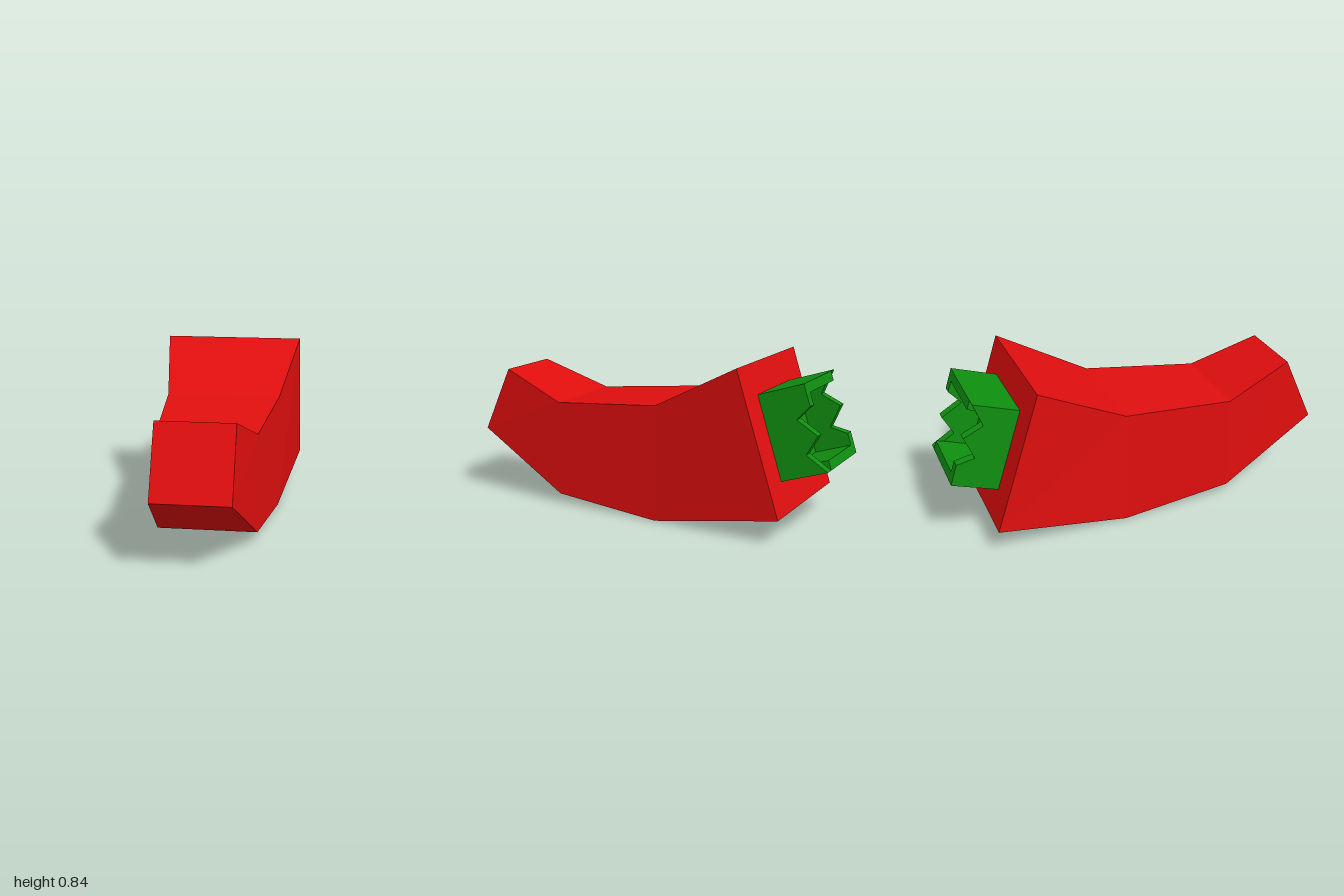
import * as THREE from 'three';

const red = new THREE.MeshStandardMaterial({ color: 0xe00e0e, flatShading: true });
red.name = 'red';
const green = new THREE.MeshStandardMaterial({ color: 0x0f8f10, flatShading: true });
green.name = 'green';

// Rectangular cross-sections, front to back: half width, top z, top y, bottom z, bottom y
const SECTIONS = [
  [0.19, 0.845, 0.69, 1.0, 0.346],
  [0.25, 0.487, 0.55, 0.487, 0.05],
  [0.30, -0.113, 0.60, -0.113, 0.0],
  [0.375, -0.586, 0.838, -0.812, 0.124],
];

// Closed skin over the rectangular sections
function loftGeometry(sections) {
  const rings = sections.map(([w, tz, ty, bz, by]) => [[-w, by, bz], [w, by, bz], [w, ty, tz], [-w, ty, tz]]);
  const pos = [];
  const quad = (a, b, c, d) => pos.push(...a, ...b, ...c, ...a, ...c, ...d);
  quad(...rings[0]);
  for (let i = 0; i < rings.length - 1; i++) {
    const a = rings[i], b = rings[i + 1];
    for (let j = 0; j < 4; j++) {
      const k = (j + 1) % 4;
      quad(a[j], b[j], b[k], a[k]);
    }
  }
  quad(...[...rings[rings.length - 1]].reverse());
  const geo = new THREE.BufferGeometry();
  geo.setAttribute('position', new THREE.Float32BufferAttribute(pos, 3));
  geo.computeVertexNormals();
  return geo;
}

function addMesh(parent, name, geo, mat, x = 0, y = 0, z = 0) {
  const mesh = new THREE.Mesh(geo, mat);
  mesh.name = name;
  mesh.position.set(x, y, z);
  parent.add(mesh);
  return mesh;
}

// Hollow socket: local x points out of the back face, y up along it, z sideways
function makeSocket() {
  const socket = new THREE.Group();
  socket.name = 'socket';
  const L = 0.243, H = 0.438, W = 0.22, T = 0.05, sink = 0.02, notch = 0.16;

  // Toothed side walls, each the other turned upside down
  const rim = [[L, 0], [L, 0.112], [notch, 0.16], [L, 0.257], [notch, 0.335], [L, H]];
  const flipped = rim.map(([v, u]) => [v, H - u]).reverse();
  [['leftWall', rim, W - T], ['rightWall', flipped, -W]].forEach(([name, edge, z]) => {
    const points = [[-sink, 0], ...edge, [-sink, H]].map(([v, u]) => new THREE.Vector2(v, -u));
    const geo = new THREE.ExtrudeGeometry(new THREE.Shape(points), { depth: T, bevelEnabled: false });
    addMesh(socket, name, geo, green, 0, 0, z);
  });

  // Top and bottom walls and the recessed floor
  const bar = new THREE.BoxGeometry(L + sink, T, 2 * (W - T));
  addMesh(socket, 'topWall', bar, green, (L - sink) / 2, -T / 2, 0);
  addMesh(socket, 'bottomWall', bar, green, (L - sink) / 2, -H + T / 2, 0);
  const floor = new THREE.BoxGeometry(0.05 + sink, H - 2 * T, 2 * (W - T));
  addMesh(socket, 'socketFloor', floor, green, (0.05 - sink) / 2, -H / 2, 0);

  // Align with the sloping back face
  const up = new THREE.Vector3(0, 0.714, 0.226).normalize();
  const out = new THREE.Vector3(0, up.z, -up.y);
  const side = new THREE.Vector3(1, 0, 0);
  socket.quaternion.setFromRotationMatrix(new THREE.Matrix4().makeBasis(out, up, side));
  socket.position.set(0, 0.691, -0.634);
  return socket;
}

export function createModel() {
  const model = new THREE.Group();
  model.name = 'curvedHorn';
  addMesh(model, 'body', loftGeometry(SECTIONS), red);
  model.add(makeSocket());
  return model;
}
